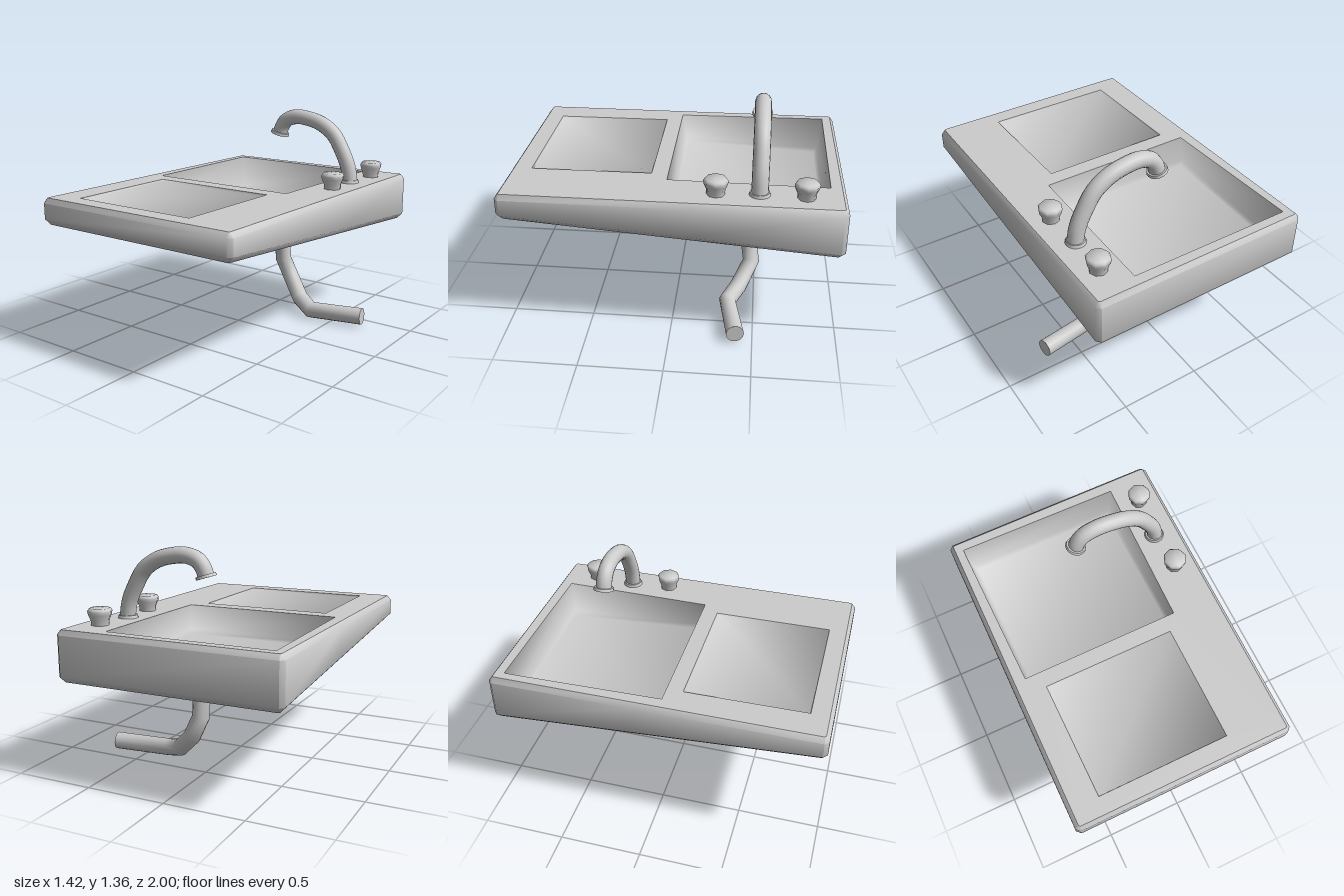
import * as THREE from 'three';
import { toCreasedNormals } from 'three/addons/utils/BufferGeometryUtils.js';

const material = new THREE.MeshStandardMaterial({ color: 0xcccccc });

function mesh(name, geometry, position = [0, 0, 0]) {
  const m = new THREE.Mesh(geometry, material);
  m.name = name;
  m.position.set(...position);
  return m;
}

// Skin between rings of [x, y, z] corners, capped by strips running front to back
function loft(rings, { capStart = false, capEnd = false, crease }) {
  const pos = [];
  const n = rings[0].length;
  const quad = (a, b, c, d) => pos.push(...a, ...b, ...c, ...a, ...c, ...d);
  for (let r = 0; r < rings.length - 1; r++) {
    const lo = rings[r], hi = rings[r + 1];
    for (let i = 0; i < n; i++) {
      const j = (i + 1) % n;
      quad(lo[i], lo[j], hi[j], hi[i]);
    }
  }
  const first = rings[0], last = rings[rings.length - 1];
  for (let i = 1; i < n / 2; i++) {
    const k = (n + 1 - i) % n, l = n - i;
    if (capStart) quad(first[i], first[k], first[l], first[i + 1]);
    if (capEnd) quad(last[k], last[i], last[i + 1], last[l]);
  }
  const g = new THREE.BufferGeometry();
  g.setAttribute('position', new THREE.Float32BufferAttribute(pos, 3));
  return toCreasedNormals(g, crease);
}

const corners = (list, height) => list.map(([x, z]) => [x, height(z), z]);

// Rectangle with clipped corners and a mid point on each long side
function clippedRing(x0, x1, z0, z1, c, height) {
  const mid = -0.12;
  return corners([
    [x0 + c, z1], [x1 - c, z1], [x1, z1 - c], [x1, mid], [x1, z0 + c],
    [x1 - c, z0], [x0 + c, z0], [x0, z0 + c], [x0, mid], [x0, z1 - c],
  ], height);
}

// Straight-sided path whose joints are cut on the bisector
class JointedPath extends THREE.Curve {
  constructor(points) {
    super();
    this.points = points;
  }
  getPointAt(u) {
    return this.points[Math.round(u * (this.points.length - 1))].clone();
  }
  getTangentAt(u) {
    const p = this.points, i = Math.round(u * (p.length - 1));
    const t = new THREE.Vector3();
    if (i > 0) t.add(p[i].clone().sub(p[i - 1]).normalize());
    if (i < p.length - 1) t.add(p[i + 1].clone().sub(p[i]).normalize());
    return t.normalize();
  }
}

// Capped tube along a list of points
function pipe(name, points, radius, sides) {
  const path = new JointedPath(points);
  const group = new THREE.Group();
  group.name = name;
  group.add(mesh(name + 'Tube', new THREE.TubeGeometry(path, points.length - 1, radius, sides)));
  for (const end of [0, 1]) {
    const cap = mesh(name + 'End', new THREE.CircleGeometry(radius, sides), path.getPointAt(end).toArray());
    const out = path.getTangentAt(end).multiplyScalar(end ? 1 : -1);
    cap.quaternion.setFromUnitVectors(new THREE.Vector3(0, 0, 1), out);
    group.add(cap);
  }
  return group;
}

function createModel() {
  const group = new THREE.Group();
  group.name = 'sink';
  const TOP = 0.92;
  const top = () => TOP;
  const under = (z) => 0.684 + 0.075 * z;

  // Wedge-shaped slab with chamfered edges
  const rim = clippedRing(-0.685, 0.665, -0.977, 0.977, 0.008, top);
  group.add(mesh('slab', loft([
    clippedRing(-0.677, 0.655, -0.97, 0.97, 0.008, under),
    clippedRing(-0.71, 0.688, -1, 1, 0.025, (z) => under(z) + 0.035),
    clippedRing(-0.71, 0.688, -1, 1, 0.025, () => TOP - 0.03),
    rim,
  ], { capStart: true, crease: 0.95 })));

  // Openings of the basin and the drainboard
  const basinRim = corners([[-0.615, 0.04], [0.387, 0.04], [0.402, -0.912], [-0.635, -0.922]], top);
  const boardRim = corners([[-0.513, 0.87], [0.317, 0.87], [0.312, 0.14], [-0.52, 0.14]], top);

  // Worktop with both openings
  const flat = (ring) => ring.map(([x, , z]) => new THREE.Vector2(x, -z));
  const shape = new THREE.Shape(flat(rim));
  for (const hole of [basinRim, boardRim]) shape.holes.push(new THREE.Path(flat(hole)));
  group.add(mesh('worktop', new THREE.ShapeGeometry(shape).rotateX(-Math.PI / 2), [0, TOP, 0]));

  // Deep basin with a sloping floor, softly shaded into its walls
  const floor = (z) => 0.74 + 0.06 * z;
  const basinLow = [[-0.612, 0.01], [0.382, 0.01], [0.385, -0.9], [-0.615, -0.9]];
  const basinFloor = [[-0.588, -0.012], [0.358, -0.012], [0.36, -0.878], [-0.59, -0.878]];
  group.add(mesh('basin', loft([
    basinRim,
    corners(basinLow, (z) => floor(z) + 0.022),
    corners(basinFloor, floor),
  ], { capEnd: true, crease: 1.7 })));

  // Very shallow drainboard
  const boardLow = [[-0.509, 0.866], [0.313, 0.866], [0.308, 0.145], [-0.515, 0.145]];
  group.add(mesh('drainboard', loft([boardRim, corners(boardLow, () => TOP - 0.012)],
    { capEnd: true, crease: 1.7 })));

  // Curved spout with a base flange and a tilted outlet collar
  const Z = -0.505;
  const spout = new THREE.CatmullRomCurve3([
    [0.525, 0.92], [0.506, 1.02], [0.46, 1.12], [0.395, 1.22], [0.3, 1.284],
    [0.2, 1.311], [0.11, 1.317], [0.035, 1.293], [-0.004, 1.245], [-0.02, 1.198],
  ].map(([x, y]) => new THREE.Vector3(x, y, Z)));
  group.add(pipe('spout', spout.getPoints(27), 0.049, 16));
  group.add(mesh('spoutBase', new THREE.CylinderGeometry(0.057, 0.062, 0.018, 16), [0.52, TOP + 0.009, Z]));
  const collar = mesh('spoutCollar', new THREE.CylinderGeometry(0.06, 0.064, 0.018, 16), [-0.019, 1.203, Z]);
  collar.rotation.z = -0.3;
  group.add(collar);

  // Eight-sided tap knobs
  const knobProfile = [[0.053, 0], [0.055, 0.03], [0.069, 0.062], [0.073, 0.085], [0.062, 0.1], [0, 0.1]]
    .map(([r, y]) => new THREE.Vector2(r, y));
  for (const z of [-0.255, -0.768]) {
    const knob = toCreasedNormals(new THREE.LatheGeometry(knobProfile, 8), 1.0);
    group.add(mesh('tapKnob', knob, [0.538, TOP, z]));
  }

  // Jointed waste pipe below the basin
  group.add(pipe('wastePipe', [
    [0.058, 0.67, -0.405], [0.053, 0.335, -0.457], [0.105, 0.21, -0.476],
    [0.23, 0.095, -0.403], [0.352, 0.057, -0.338], [0.703, 0.068, -0.398],
  ].map((p) => new THREE.Vector3(...p)), 0.054, 14));

  return group;
}

export { createModel };
